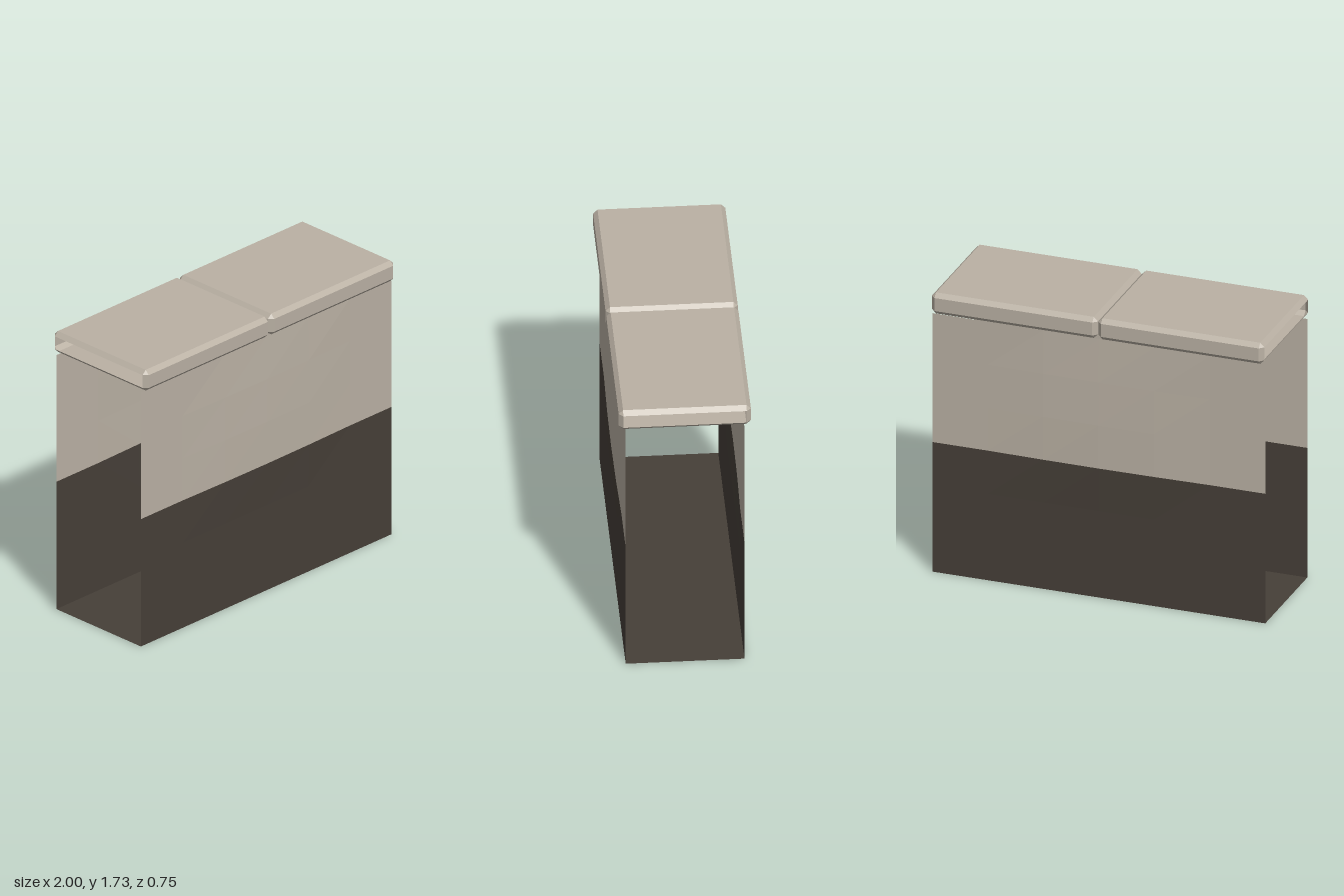
import * as THREE from 'three';
import { ConvexGeometry } from 'three/addons/geometries/ConvexGeometry.js';

const HALF_DEPTH = 0.335, WALL_TOP = 1.596, BAND = 0.8;

// slight outward swelling of the plaster, strongest above mid height
function swell(x, y) {
  const across = Math.max(0, 1 - Math.pow(Math.abs(x) / 0.66, 2));
  const up = Math.max(0, 1 - Math.pow((y - 1.06) / 0.53, 2));
  return 0.012 * across * up;
}

// one facing panel between two heights, facing +z
function panel(y0, y1, material, name) {
  const g = new THREE.PlaneGeometry(2, y1 - y0, 6, 3);
  g.translate(0, (y0 + y1) / 2, HALF_DEPTH);
  const p = g.attributes.position;
  for (let i = 0; i < p.count; i++) p.setZ(i, HALF_DEPTH + swell(p.getX(i), p.getY(i)));
  const flat = g.toNonIndexed();
  flat.computeVertexNormals();
  const mesh = new THREE.Mesh(flat, material);
  mesh.name = name;
  return mesh;
}

// chamfered slab, open on its outer end (x = openX)
function capGeometry(min, max, bevel, openX) {
  const points = [];
  for (const sx of [0, 1]) for (const sy of [0, 1]) for (const sz of [0, 1]) {
    const side = [sx, sy, sz];
    for (let axis = 0; axis < 3; axis++) {
      // each corner is cut into three points, one per touching face
      const c = side.map((s, k) => {
        const inset = k === axis ? 0 : bevel;
        return s ? max[k] - inset : min[k] + inset;
      });
      points.push(new THREE.Vector3(...c));
    }
  }
  const p = new ConvexGeometry(points).attributes.position;
  const kept = [];
  for (let i = 0; i < p.count; i += 3) {
    const onEnd = [0, 1, 2].every(k => Math.abs(p.getX(i + k) - openX) < 1e-4);
    if (onEnd) continue;
    for (let k = 0; k < 3; k++) kept.push(p.getX(i + k), p.getY(i + k), p.getZ(i + k));
  }
  const g = new THREE.BufferGeometry();
  g.setAttribute('position', new THREE.Float32BufferAttribute(kept, 3));
  g.computeVertexNormals();
  return g;
}

export function createModel() {
  const model = new THREE.Group();
  model.name = 'lowWall';
  const stone = new THREE.MeshStandardMaterial({ color: 0xbab1a4, side: THREE.DoubleSide });
  stone.name = 'paleStone';
  const base = new THREE.MeshStandardMaterial({ color: 0x463f38, side: THREE.DoubleSide });
  base.name = 'darkBase';

  // front and back facings, pale above and dark below
  for (const [name, turn] of [['frontWall', 0], ['backWall', Math.PI]]) {
    const wall = new THREE.Group();
    wall.name = name;
    wall.add(panel(BAND, WALL_TOP, stone, 'upperPanel'), panel(0, BAND, base, 'lowerPanel'));
    wall.rotation.y = turn;
    model.add(wall);
  }

  // underside
  const floor = new THREE.Mesh(new THREE.PlaneGeometry(2, HALF_DEPTH * 2), base);
  floor.rotation.x = Math.PI / 2;
  floor.name = 'underside';
  model.add(floor);

  // two coping slabs meeting at the middle
  for (const [name, x0, x1, open] of [['rightCap', -1, -0.001, -1], ['leftCap', 0.001, 1, 1]]) {
    const cap = new THREE.Mesh(
      capGeometry([x0, 1.604, -0.373], [x1, 1.734, 0.373], 0.025, open), stone);
    cap.name = name;
    model.add(cap);
  }
  return model;
}
